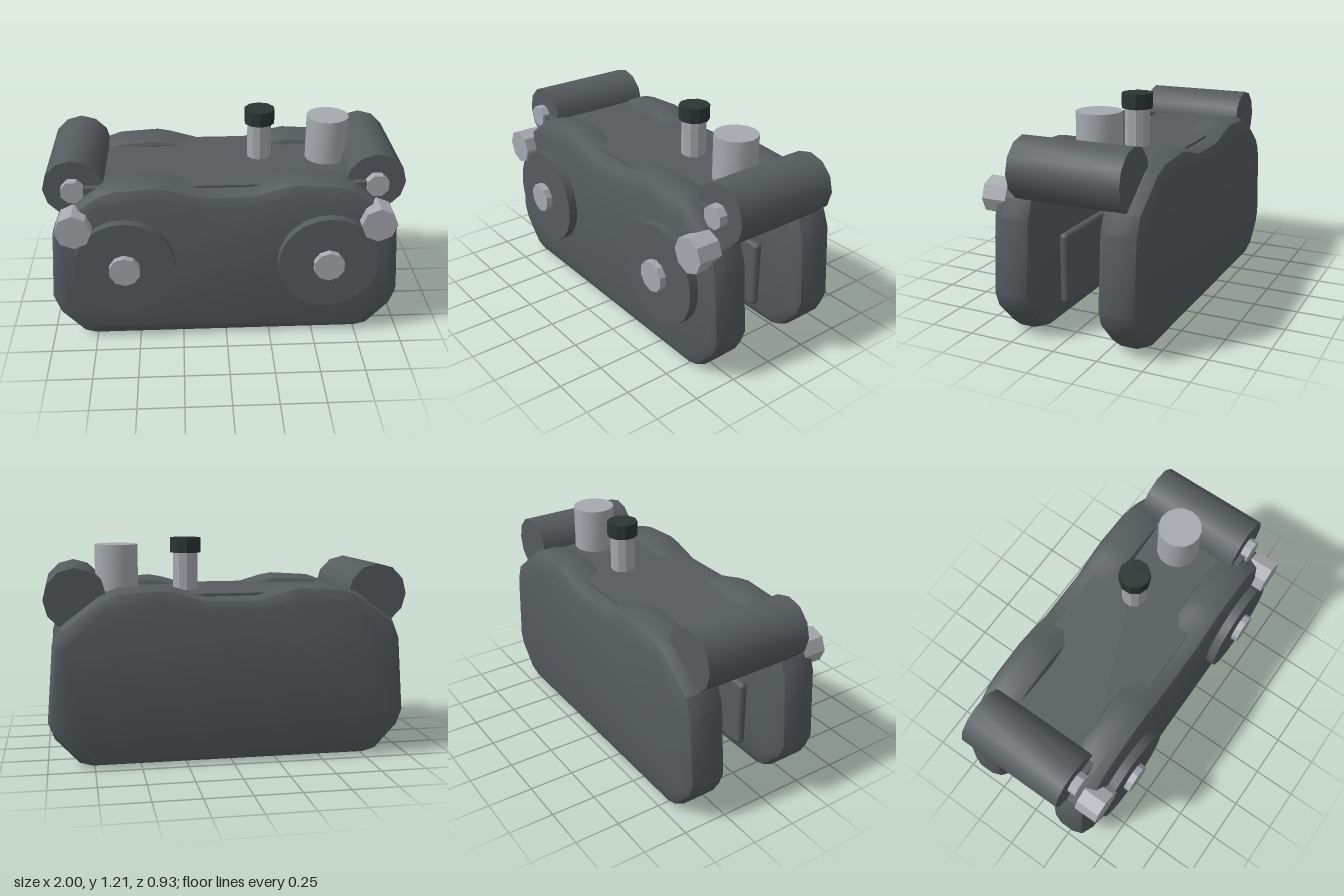
import * as THREE from 'three';
import { toCreasedNormals } from 'three/addons/utils/BufferGeometryUtils.js';
import { RoundedBoxGeometry } from 'three/addons/geometries/RoundedBoxGeometry.js';

const material = (name, color) => Object.assign(new THREE.MeshStandardMaterial({ color }), { name });

// Right half of the caliper outline, from bottom centre to the top dip
const OUTLINE = [
  [0.76, 0], [0.83, 0.02], [0.96, 0.16], [0.993, 0.25], [0.96, 0.66], [0.92, 0.76],
  [0.71, 0.92], [0.61, 0.955], [0.38, 0.97], [0.30, 0.955], [0.14, 0.908],
];

export function createModel() {
  const model = new THREE.Group();
  model.name = 'brakeCaliper';
  const body = material('dark grey metal', 0x565b5e);
  const steel = material('light steel', 0xa6a9ae);
  const rubber = material('black rubber', 0x2b3533);

  const add = (name, geometry, mat, x, y, z) => {
    const mesh = new THREE.Mesh(geometry, mat);
    mesh.name = name;
    mesh.position.set(x, y, z);
    model.add(mesh);
    return mesh;
  };
  // Faceted cylinder lying along z, from z0 to z1
  const rodZ = (name, r, sides, x, y, z0, z1, mat, turn = 0) => {
    const g = new THREE.CylinderGeometry(r, r, z1 - z0, sides);
    g.rotateY(turn).rotateX(Math.PI / 2);
    return add(name, toCreasedNormals(g, 0.6), mat, x, y, (z0 + z1) / 2);
  };
  // Faceted cylinder standing along y, from y0 to y1
  const rodY = (name, r, sides, x, z, y0, y1, mat) =>
    add(name, toCreasedNormals(new THREE.CylinderGeometry(r, r, y1 - y0, sides), 0.6), mat, x, (y0 + y1) / 2, z);

  // Two bevelled caliper halves
  const left = OUTLINE.map(([x, y]) => [-x, y]).reverse();
  const shape = new THREE.Shape([...OUTLINE, ...left].map(([x, y]) => new THREE.Vector2(x, y)));
  const bevel = 0.075, thickness = 0.237;
  const half = toCreasedNormals(new THREE.ExtrudeGeometry(shape, {
    depth: thickness - 2 * bevel, bevelEnabled: true, bevelThickness: bevel,
    bevelSize: 0.065, bevelOffset: -0.065, bevelSegments: 2,
  }).translate(0, 0, bevel), 0.45);
  add('frontHalf', half, body, 0, 0, 0.138);
  add('backHalf', half, body, 0, 0, -0.465);

  // Bridge joining the halves
  add('bridge', new THREE.BoxGeometry(1.56, 0.17, 0.645), body, 0, 0.838, -0.048);

  // Brake pads inside the gap
  const pad = new RoundedBoxGeometry(1.38, 0.4, 0.052, 2, 0.024);
  add('frontPad', pad, body, 0, 0.315, 0.107);
  add('backPad', pad, body, 0, 0.315, -0.193);

  // Mirrored side fittings
  for (const s of [1, -1]) {
    rodZ('guidePinSleeve', 0.168, 12, s * 0.832, 0.905, -0.38, 0.243, body);
    rodZ('guidePinBolt', 0.065, 8, s * 0.835, 0.905, 0.2, 0.292, steel, Math.PI / 8);
    rodZ('mountingBolt', 0.1, 8, s * 0.83, 0.74, 0.3, 0.438, steel);
    rodZ('pistonCap', 0.281, 24, s * 0.565, 0.497, 0.35, 0.427, body);
    rodZ('pistonBolt', 0.087, 10, s * 0.565, 0.497, 0.4, 0.465, steel);
  }

  // Bleed valve and hose inlet on top
  rodY('bleedValveStem', 0.07, 10, 0.21, -0.105, 0.9, 1.14, steel);
  rodY('bleedValveCap', 0.087, 10, 0.21, -0.105, 1.13, 1.213, rubber);
  rodY('hoseInlet', 0.12, 16, 0.595, -0.07, 0.88, 1.178, steel);
  return model;
}
